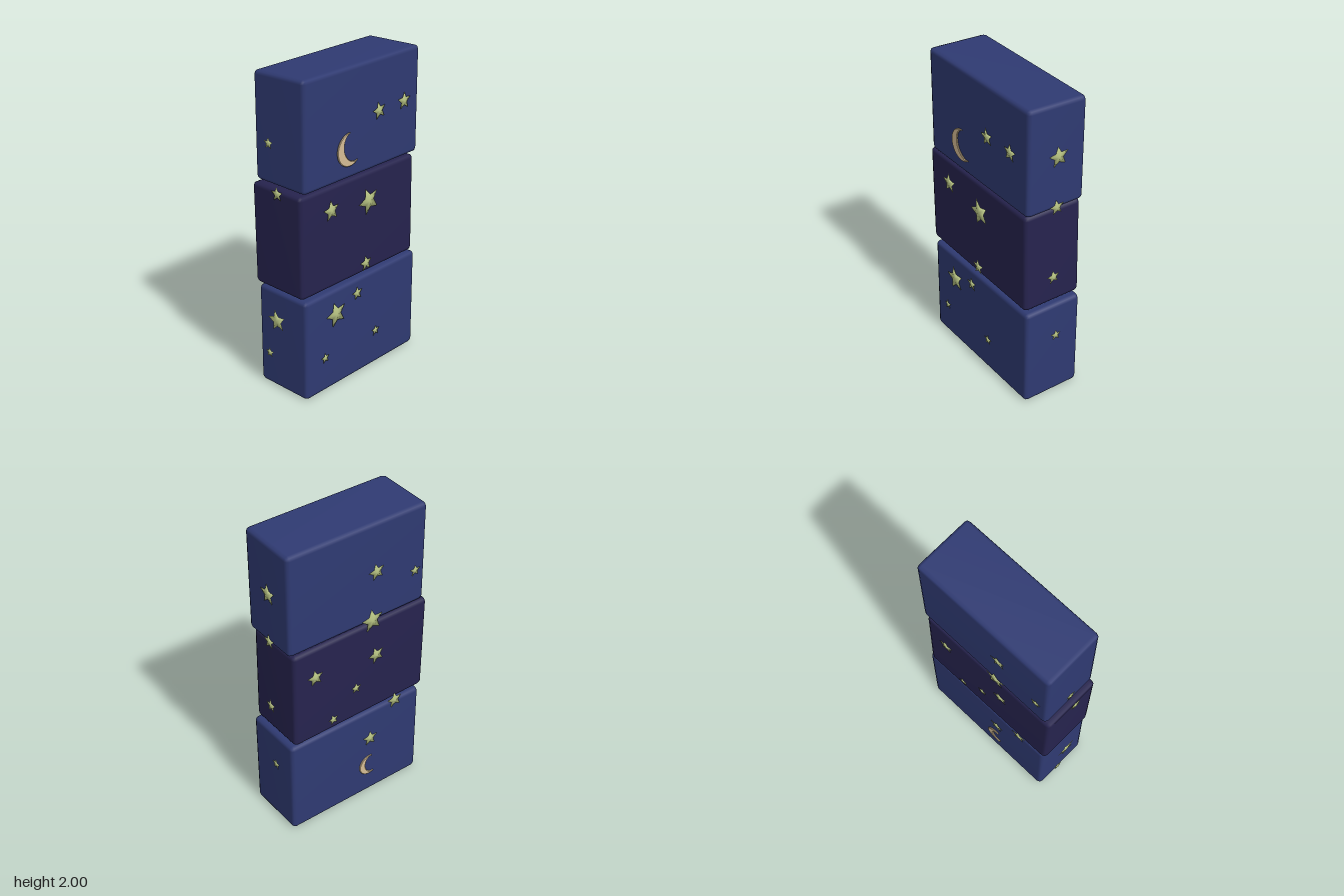
import * as THREE from 'three';
import { mergeVertices } from 'three/addons/utils/BufferGeometryUtils.js';
import { RoundedBoxGeometry } from 'three/addons/geometries/RoundedBoxGeometry.js';

const material = (name, color) => {
  const m = new THREE.MeshStandardMaterial({ color });
  m.name = name;
  return m;
};

// Soft-edged block between two corners; warp nudges each vertex by its -1..1 position
function block(min, max, warp) {
  const size = max.map((v, i) => v - min[i]);
  let g = new RoundedBoxGeometry(...size, 1, 0.025);
  g.deleteAttribute('normal');
  g.deleteAttribute('uv');
  g = mergeVertices(g, 1e-4);
  const p = g.attributes.position;
  for (let i = 0; i < p.count; i++) {
    const v = [p.getX(i), p.getY(i), p.getZ(i)];
    const [dx, dy, dz] = warp(...v.map((c, k) => (2 * c) / size[k]));
    p.setXYZ(i, v[0] + dx, v[1] + dy, v[2] + dz);
  }
  g.translate(...min.map((v, i) => (v + max[i]) / 2));
  g.computeVertexNormals();
  return g;
}

// Five-pointed puffy star: a rim closed by a front and a back apex
function starGeometry(radius) {
  const pos = [0, 0, 0.007, 0, 0, -0.007];
  const index = [];
  for (let i = 0; i < 10; i++) {
    const a = Math.PI / 2 + (i * Math.PI) / 5;
    const r = i % 2 ? radius * 0.47 : radius;
    pos.push(r * Math.cos(a), r * Math.sin(a), 0);
    const cur = 2 + i, next = 2 + ((i + 1) % 10);
    index.push(0, cur, next, 1, next, cur);
  }
  const g = new THREE.BufferGeometry();
  g.setAttribute('position', new THREE.Float32BufferAttribute(pos, 3));
  g.setIndex(index);
  g.computeVertexNormals();
  return g;
}

// Thin crescent opening towards +x
function moonGeometry(r) {
  const tip = 1.24;
  const s = new THREE.Shape();
  s.absarc(0, 0, r, tip, Math.PI * 2 - tip, false);
  s.absellipse(r * 0.36, 0, r * 0.78, r * 0.9, Math.PI * 1.5, Math.PI / 2, true);
  const g = new THREE.ExtrudeGeometry(s, {
    depth: 0.004, bevelEnabled: true, bevelThickness: 0.003,
    bevelSize: 0.004, bevelOffset: -0.004, bevelSegments: 1, curveSegments: 14,
  });
  return g.translate(0, 0, -0.002);
}

export function createModel() {
  const model = new THREE.Group();
  const blue = material('night blue', 0x2f3a72);
  const purple = material('dark purple', 0x26234e);
  const starColor = material('pale green star', 0xbcc886);
  const moonColor = material('warm cream moon', 0xd6bd95);

  const add = (name, geometry, mat) => {
    const m = new THREE.Mesh(geometry, mat);
    m.name = name;
    model.add(m);
    return m;
  };

  // Three stacked, slightly uneven blocks
  add('topBlock', block([-0.472, 1.335, -0.2], [0.499, 2, 0.19],
    (x, y, z) => [0, y > 0 && z < 0 ? -0.012 : 0, 0]), blue);
  add('middleBlock', block([-0.497, 0.68, -0.202], [0.478, 1.325, 0.185],
    (x, y, z) => [-0.004 * y, -0.003 * x, z < 0 && x > 0 && y < 0 ? -0.006 : 0]), purple);
  add('bottomBlock', block([-0.472, 0.005, -0.2], [0.504, 0.66, 0.19],
    (x, y, z) => [0, 0.002 * x, 0]), blue);

  // Each side has its own plane: u runs right as seen from outside, v is height
  const sides = {
    front: { place: (u, v) => [u, v, 0.205], turn: 0 },
    back: { place: (u, v) => [-u, v, -0.205], turn: Math.PI },
    left: { place: (u, v) => [0.503, v, -u], turn: Math.PI / 2 },
    right: { place: (u, v) => [-0.51, v, u], turn: -Math.PI / 2 },
  };
  const decorate = (name, side, geometry, mat, u, v, spin) => {
    const m = add(name, geometry, mat);
    m.position.set(...sides[side].place(u, v));
    m.rotation.set(0, sides[side].turn, spin);
  };

  // Stars: u, v, radius, spin
  const stars = {
    front: [
      [0.13, 1.69, 0.056, 0.2], [0.35, 1.695, 0.056, 0], [-0.27, 1.19, 0.066, 0.1],
      [0.05, 1.15, 0.088, 0.35], [0.03, 0.75, 0.053, 0.1], [-0.23, 0.505, 0.085, 0.25],
      [-0.045, 0.575, 0.046, 0.1], [-0.325, 0.245, 0.036, 0.1], [0.125, 0.25, 0.037, 0],
    ],
    back: [
      [0.11, 1.67, 0.056, 0.2], [0.395, 1.565, 0.037, 0], [0.085, 1.345, 0.078, 0.1],
      [-0.325, 1.12, 0.056, 0.1], [0.12, 1.08, 0.058, 0.3], [-0.03, 0.9, 0.038, 0],
      [-0.2, 0.745, 0.045, 0.2], [0.275, 0.66, 0.058, 0.1], [0.085, 0.445, 0.056, 0],
    ],
    left: [
      [0.015, 1.67, 0.066, 0.1], [0.01, 1.345, 0.05, 0.1],
      [0, 0.87, 0.047, 0.1], [0.03, 0.43, 0.042, 0],
    ],
    right: [
      [-0.05, 1.6, 0.037, 0], [0.01, 1.31, 0.046, 0.1],
      [-0.015, 0.49, 0.072, 0.2], [-0.08, 0.25, 0.035, 0],
    ],
  };
  for (const [side, list] of Object.entries(stars)) {
    list.forEach(([u, v, r, spin], i) =>
      decorate(`${side}Star${i + 1}`, side, starGeometry(r), starColor, u, v, spin));
  }

  // Crescent moons
  decorate('frontMoon', 'front', moonGeometry(0.102), moonColor, -0.12, 1.522, 0.33);
  decorate('backMoon', 'back', moonGeometry(0.075), moonColor, 0.08, 0.23, 0.1);

  return model;
}
